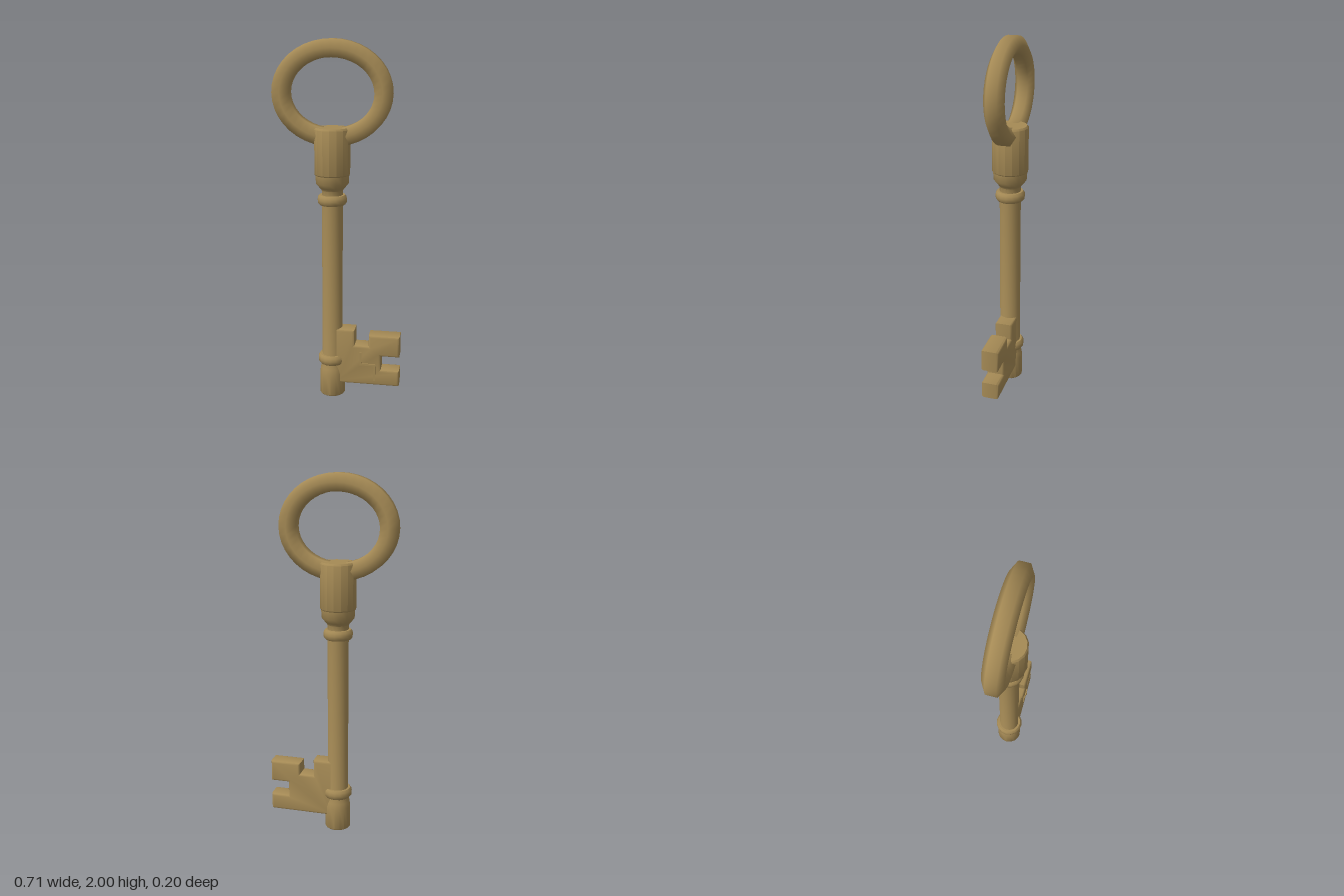
import * as THREE from 'three';
import { mergeVertices, toCreasedNormals } from 'three/addons/utils/BufferGeometryUtils.js';

const AXIS_X = -0.033; // the shaft sits left of centre because of the bit
const brass = new THREE.MeshStandardMaterial({ color: 0xa58a55 });

function addPart(group, name, geometry, x = AXIS_X, y = 0, z = 0) {
  const mesh = new THREE.Mesh(geometry, brass);
  mesh.name = name;
  mesh.position.set(x, y, z);
  group.add(mesh);
}

// Turned part from [radius, height] pairs, bottom to top
function turned(profile) {
  const points = profile.map(([r, y]) => new THREE.Vector2(r, y));
  return toCreasedNormals(new THREE.LatheGeometry(points, 16), 0.7);
}

function shapeOf(points) {
  return new THREE.Shape(points.map(([x, y]) => new THREE.Vector2(x, y)));
}

// Oval ring with a smooth-shaded hexagonal section
function ovalRing(rx, ry, tube) {
  const section = [];
  for (let i = 0; i <= 6; i++) {
    const a = (i - 0.5) * Math.PI / 3;
    section.push(new THREE.Vector2(rx + tube * Math.cos(a), tube * Math.sin(a)));
  }
  let g = new THREE.LatheGeometry(section, 40).rotateX(Math.PI / 2);
  const p = g.attributes.position;
  for (let i = 0; i < p.count; i++) {
    const sin = p.getY(i) / Math.hypot(p.getX(i), p.getY(i));
    p.setY(i, p.getY(i) - (rx - ry) * sin);
  }
  g.deleteAttribute('uv');
  g.deleteAttribute('normal');
  g = mergeVertices(g, 1e-5);
  g.computeVertexNormals();
  return g;
}

export function createModel() {
  const key = new THREE.Group();
  key.name = 'key';

  addPart(key, 'bowRing', ovalRing(0.274, 0.232, 0.055), AXIS_X, 1.72);

  // Collar holding the ring, with the stepped neck below it
  addPart(key, 'collar', turned([
    [0, 1.28], [0.09, 1.28], [0.098, 1.29], [0.098, 1.53], [0.09, 1.54], [0, 1.54],
  ]));
  addPart(key, 'neck', turned([
    [0.058, 1.16], [0.058, 1.2], [0.07, 1.215], [0.09, 1.24], [0.093, 1.285], [0, 1.285],
  ]));

  // Shaft with a flared, hollow tip
  addPart(key, 'shaft', turned([
    [0, 0.08], [0.03, 0.08], [0.03, 0], [0.068, 0], [0.072, 0.005], [0.072, 0.13],
    [0.067, 0.16], [0.058, 0.19], [0.058, 1.18],
  ]));

  // Rounded bands around the shaft
  for (const [name, y] of [['upperBand', 1.148], ['lowerBand', 0.217]]) {
    addPart(key, name, turned([
      [0.05, -0.027], [0.07, -0.027], [0.079, -0.016], [0.081, 0],
      [0.079, 0.016], [0.07, 0.027], [0.05, 0.027],
    ]), AXIS_X, y);
  }

  // Notched bit; the outline is inset by the bevel
  const b = 0.013;
  const bit = new THREE.ExtrudeGeometry(shapeOf([
    [0, 0.08 + b], [0.354 - b, 0.08 + b], [0.354 - b, 0.175 - b], [0.25 - b, 0.175 - b],
    [0.25 - b, 0.257 + b], [0.354 - b, 0.257 + b], [0.354 - b, 0.38 - b], [0.18 + b, 0.38 - b],
    [0.18 + b, 0.315 - b], [0.1 - b, 0.315 - b], [0.1 - b, 0.408 - b], [0, 0.408 - b],
  ]), { depth: 0.1 - 2 * b, bevelThickness: b, bevelSize: b, bevelSegments: 2 });
  addPart(key, 'bit', toCreasedNormals(bit, 0.9), 0, 0, -0.05 + b);

  // Thin stepped line raised on the front of the bit
  const line = new THREE.ExtrudeGeometry(shapeOf([
    [0.13, 0.28], [0.13, 0.2], [0.21, 0.2], [0.21, 0.11],
    [0.221, 0.11], [0.221, 0.211], [0.141, 0.211], [0.141, 0.28],
  ]), { depth: 0.015, bevelEnabled: false });
  addPart(key, 'bitLine', line, 0, 0, 0.041);

  return key;
}
